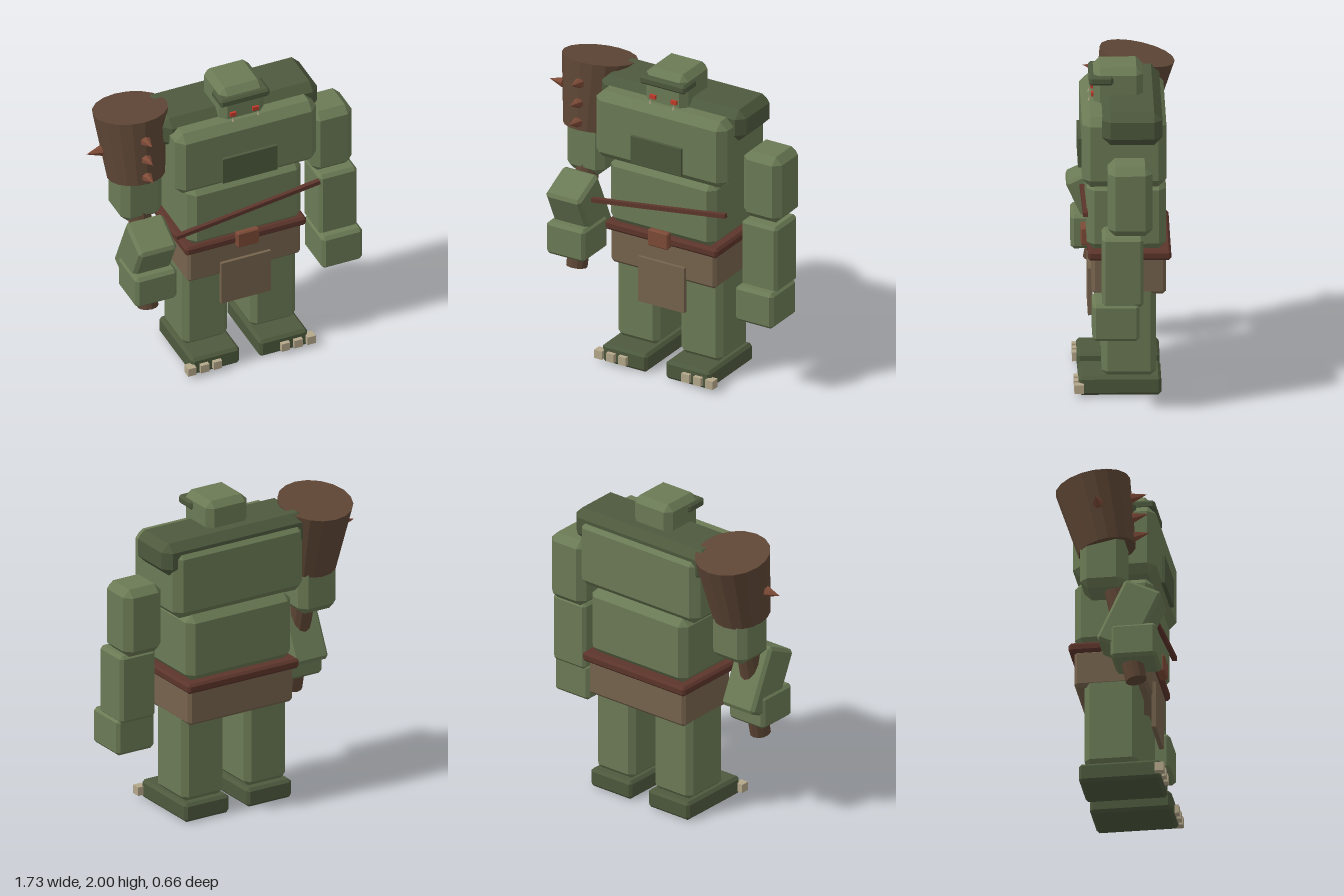
import * as THREE from 'three';
import { ConvexGeometry } from 'three/addons/geometries/ConvexGeometry.js';

const mat = (color) => new THREE.MeshStandardMaterial({ color, flatShading: true });

// Box with flat chamfers of width c on every edge
function chamferBox(w, h, d, c) {
  const points = [];
  for (const x of [-1, 1]) for (const y of [-1, 1]) for (const z of [-1, 1]) {
    const X = w / 2, Y = h / 2, Z = d / 2;
    points.push(
      new THREE.Vector3(x * X, y * (Y - c), z * (Z - c)),
      new THREE.Vector3(x * (X - c), y * Y, z * (Z - c)),
      new THREE.Vector3(x * (X - c), y * (Y - c), z * Z));
  }
  return new ConvexGeometry(points);
}

export function createModel() {
  const model = new THREE.Group();
  model.name = 'clubBrute';

  const skin = mat(0x6b7a55), darkSkin = mat(0x4d593d), cloth = mat(0x75634c);
  const wood = mat(0x5e4635), leather = mat(0x5c352b), copper = mat(0x7d4a37);
  const bone = mat(0xb5a88a), red = mat(0xc23a2a);

  const add = (name, geometry, material, parent = model) => {
    const mesh = new THREE.Mesh(geometry, material);
    mesh.name = name;
    parent.add(mesh);
    return mesh;
  };
  // Block given by its [min, max] extents; c = 0 leaves sharp edges
  const block = (name, material, [x0, x1], [y0, y1], [z0, z1], c = 0) => {
    const size = [x1 - x0, y1 - y0, z1 - z0];
    const geometry = c ? chamferBox(...size, c) : new THREE.BoxGeometry(...size);
    const mesh = add(name, geometry, material);
    mesh.position.set((x0 + x1) / 2, (y0 + y1) / 2, (z0 + z1) / 2);
    return mesh;
  };

  const mid = 0.083; // centre line of the body
  const across = (half) => [mid - half, mid + half];

  // Legs, feet and toes, mirrored about the body centre
  for (const s of [-1, 1]) {
    const side = s > 0 ? 'left' : 'right';
    const span = (centre, half) => [mid + s * centre - half, mid + s * centre + half];
    block(side + 'Foot', darkSkin, span(0.225, 0.16), [0, 0.12], [-0.23, 0.27], 0.018);
    block(side + 'Leg', skin, span(0.225, 0.149), [0.115, 0.85], [-0.2, 0.13], 0.035);
    for (let i = 0; i < 3; i++)
      block(side + 'Toe', bone, span(0.225 + (i - 1) * 0.085 + 0.085, 0.0275), [0.025, 0.08], [0.24, 0.297]);
  }

  // Trousers, belt and loincloth
  block('trousers', cloth, across(0.376), [0.64, 0.88], [-0.26, 0.19], 0.02);
  block('belt', leather, across(0.4), [0.863, 0.925], [-0.29, 0.215], 0.015);
  block('buckle', copper, across(0.072), [0.853, 0.963], [0.2, 0.25], 0.008);
  block('loincloth', cloth, across(0.165), [0.44, 0.74], [0.183, 0.21]);

  // Torso
  block('abdomen', skin, across(0.376), [0.92, 1.35], [-0.26, 0.22], 0.045);
  block('chest', skin, across(0.467), [1.345, 1.79], [-0.26, 0.25], 0.05);
  block('chestPlate', darkSkin, across(0.18), [1.39, 1.57], [0.24, 0.27]);
  block('shoulderYoke', darkSkin, [-0.42, 0.61], [1.63, 1.837], [-0.235, 0.13], 0.05);

  // Slanted chest strap
  const strap = add('strap', new THREE.BoxGeometry(0.96, 0.026, 0.03), leather);
  strap.position.set(mid, 1.117, 0.231);
  strap.rotation.z = 0.14;

  // Head
  block('head', skin, across(0.148), [1.7, 2], [-0.125, 0.175], 0.04);
  block('brow', darkSkin, across(0.163), [1.9, 1.957], [0.055, 0.203], 0.014);
  for (const s of [-1, 1]) {
    const x = mid + s * 0.075;
    block('eye', red, [x - 0.02, x + 0.02], [1.812, 1.838], [0.16, 0.19]);
    const tusk = add('tusk', new THREE.ConeGeometry(0.012, 0.055, 5), bone);
    tusk.position.set(mid + s * 0.083, 1.792, 0.2);
  }

  // Left arm hangs straight
  block('leftUpperArm', skin, [0.58, 0.85], [1.13, 1.57], [-0.17, 0.1], 0.045);
  block('leftForearm', skin, [0.605, 0.857], [0.69, 1.132], [-0.115, 0.135], 0.02);
  block('leftHand', skin, [0.597, 0.865], [0.475, 0.71], [-0.09, 0.195], 0.02);

  // Right arm, forearm bent around the club
  block('rightUpperArm', skin, [-0.68, -0.41], [1.13, 1.57], [-0.17, 0.1], 0.045);
  const forearm = add('rightForearm', chamferBox(0.25, 0.43, 0.25, 0.02), skin);
  forearm.position.set(-0.548, 0.918, 0.131);
  forearm.rotation.x = 0.44;
  block('rightHand', skin, [-0.685, -0.41], [0.64, 0.857], [0.02, 0.3], 0.02);

  // Club, leaning back over the shoulder
  const club = new THREE.Group();
  club.name = 'club';
  club.position.set(-0.547, 0.535, 0.16);
  club.rotation.x = -0.2;
  model.add(club);
  add('clubHandle', new THREE.CylinderGeometry(0.075, 0.065, 0.95, 12), wood, club).position.y = 0.475;
  add('clubHead', new THREE.CylinderGeometry(0.232, 0.178, 0.44, 18), wood, club).position.y = 1.115;

  // Spikes: three down the front, one on the outer side
  const spike = new THREE.ConeGeometry(0.034, 0.1, 6);
  for (const y of [0.945, 1.07, 1.2]) {
    const mesh = add('frontSpike', spike, copper, club);
    mesh.position.set(0, y, 0.178 + (y - 0.895) * 0.123 + 0.045);
    mesh.rotation.x = Math.PI / 2;
  }
  const sideSpike = add('sideSpike', spike, copper, club);
  sideSpike.position.set(-0.268, 1.115, 0.02);
  sideSpike.rotation.z = Math.PI / 2;

  return model;
}
